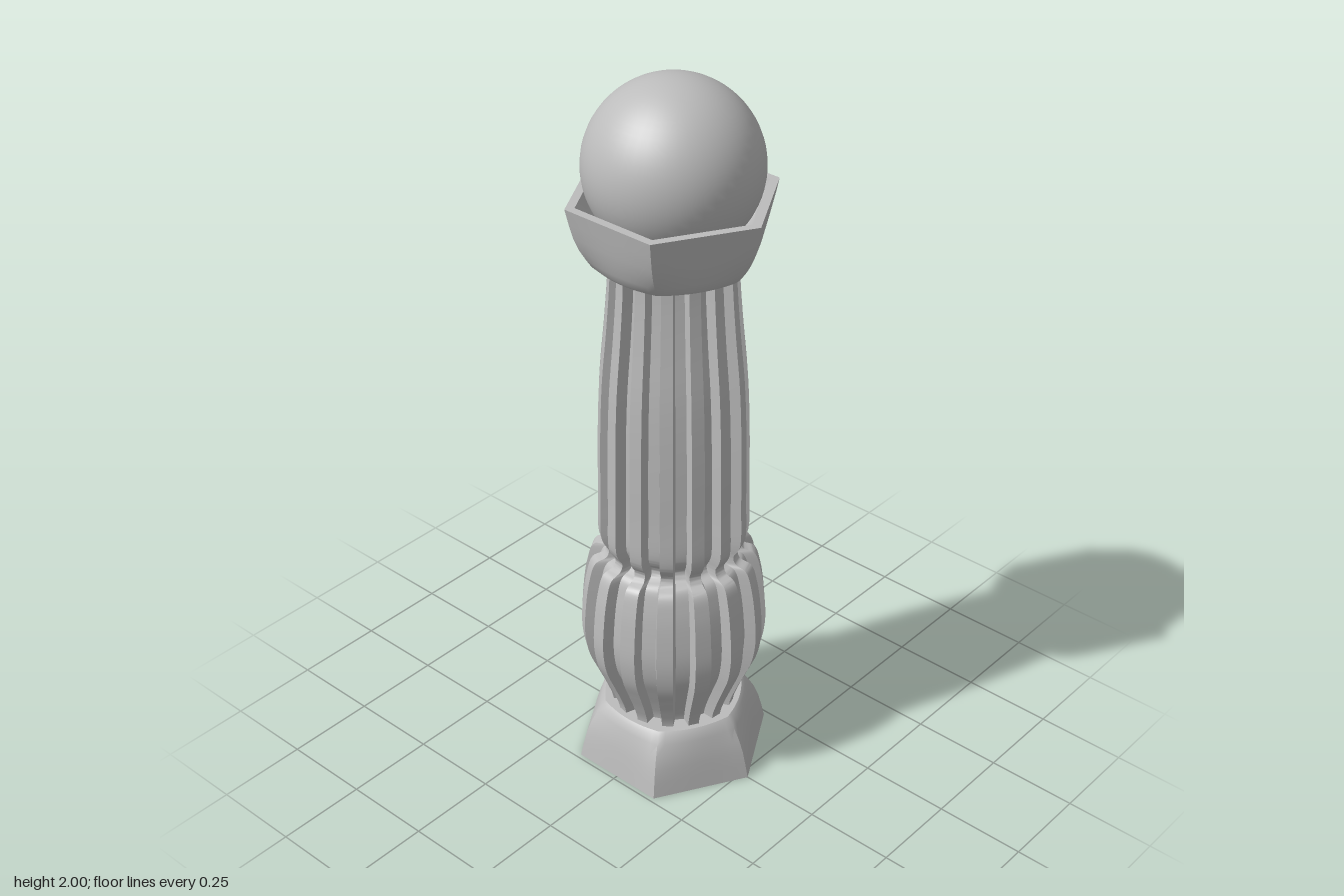
import * as THREE from 'three';
import { toCreasedNormals } from 'three/addons/utils/BufferGeometryUtils.js';

const TAU = Math.PI * 2;

// Skins rings of points: each ring is a height and a radius for every angle.
function loft(rings, angles, radiusAt) {
  const n = angles.length, pos = [], index = [];
  for (const ring of rings) {
    angles.forEach((a, j) => {
      const r = radiusAt(ring, a, j);
      pos.push(r * Math.cos(a), ring.y, r * Math.sin(a));
    });
  }
  for (let i = 0; i < rings.length - 1; i++) {
    for (let j = 0; j < n; j++) {
      const a = i * n + j, b = i * n + (j + 1) % n;
      index.push(a, a + n, b, b, a + n, b + n);
    }
  }
  const g = new THREE.BufferGeometry();
  g.setAttribute('position', new THREE.Float32BufferAttribute(pos, 3));
  g.setIndex(index);
  return toCreasedNormals(g, 0.6);
}

// Hollow hexagonal cup, rim at y = 0, blending to a nearly round closed end.
function cupGeometry() {
  const profile = [ // y, apothem, hexagon sharpness
    [0.13, 0.001, 0], [0.13, 0.165, 0.3], [0.09, 0.192, 0.6], [0.04, 0.206, 0.9], [0, 0.215, 1],
    [0, 0.237, 1], [0.04, 0.23, 0.97], [0.08, 0.223, 0.9], [0.115, 0.215, 0.75],
    [0.145, 0.205, 0.55], [0.165, 0.197, 0.4], [0.175, 0.188, 0.35], [0.175, 0.001, 0],
  ];
  const rings = profile.map(([y, r, hex]) => ({ y, r, hex }));
  const angles = Array.from({ length: 72 }, (_, i) => (i / 72) * TAU);
  return loft(rings, angles, ({ r, hex }, a) => {
    const fold = ((a + TAU / 12 + 1e-9) % (TAU / 6)) - TAU / 12;
    return r * (1 + hex * (1 / Math.cos(fold) - 1));
  });
}

// Fluted column with fifteen ribs, following a turned outline.
function columnGeometry() {
  const outline = [ // rib radius, y
    [0.172, 0.1], [0.174, 0.18], [0.19, 0.23], [0.215, 0.29], [0.239, 0.35], [0.25, 0.42],
    [0.247, 0.5], [0.235, 0.59], [0.217, 0.645], [0.186, 0.66], [0.179, 0.68], [0.19, 0.7],
    [0.199, 0.725], [0.199, 0.85], [0.196, 1.05], [0.189, 1.2], [0.175, 1.35], [0.165, 1.48], [0.162, 1.56],
  ];
  const curve = new THREE.CatmullRomCurve3(
    outline.map(([r, y]) => new THREE.Vector3(r, y, 0)), false, 'centripetal');
  const rings = curve.getPoints(90).map(p => ({ r: p.x, y: p.y }));
  rings.unshift({ r: 0, y: 0.1 });
  rings.push({ r: 0, y: 1.56 });

  const angles = [], ribs = 15, depth = 0.03;
  for (let i = 0; i < ribs; i++) {
    for (const deg of [-5, 5, 7, 17]) angles.push((i / ribs) * TAU + THREE.MathUtils.degToRad(deg));
  }
  return loft(rings, angles, ({ r }, a, j) => Math.max(0.001, j % 4 < 2 ? r : r - depth));
}

export function createModel() {
  const model = new THREE.Group();
  model.name = 'flutedPost';
  const stone = new THREE.MeshStandardMaterial({ color: 0xbcbcbc });
  stone.name = 'grey stone';

  const add = (name, geometry, y = 0) => {
    const mesh = new THREE.Mesh(geometry, stone);
    mesh.name = name;
    mesh.position.y = y;
    model.add(mesh);
    return mesh;
  };

  // Matching cups: one stands on its rim, the other opens upward
  const cup = cupGeometry();
  add('base', cup);
  add('capital', cup, 1.7).rotation.x = Math.PI;

  add('flutedColumn', columnGeometry());
  add('ballFinial', new THREE.SphereGeometry(0.225, 48, 32), 1.775);
  return model;
}
